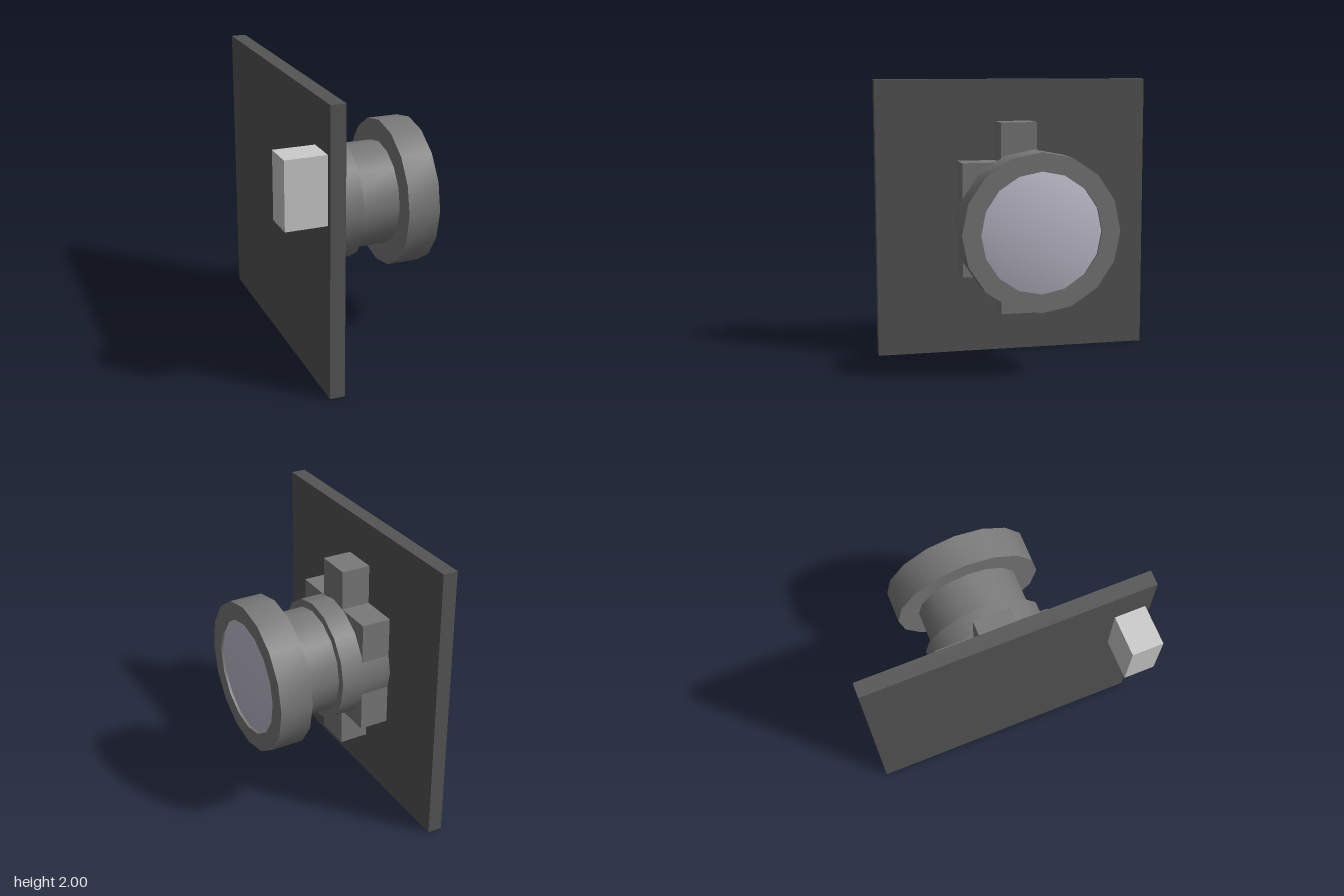
import * as THREE from 'three';
import { toCreasedNormals } from 'three/addons/utils/BufferGeometryUtils.js';

const SIDES = 16;
const AXIS_Y = 1.005; // height of the optical axis

export function createModel() {
  const model = new THREE.Group();
  model.name = 'cameraModule';

  const boardMat = new THREE.MeshStandardMaterial({ color: 0x555555 });
  const housingMat = new THREE.MeshStandardMaterial({ color: 0x797979 });
  const glassMat = new THREE.MeshStandardMaterial({ color: 0xc2c0d0 });
  const connectorMat = new THREE.MeshStandardMaterial({ color: 0xcccccc });

  function add(name, geometry, material, parent = model) {
    const mesh = new THREE.Mesh(geometry, material);
    mesh.name = name;
    parent.add(mesh);
    return mesh;
  }

  // Box given by its limits on each axis
  function box(name, [x0, x1], [y0, y1], [z0, z1], material) {
    const mesh = add(name, new THREE.BoxGeometry(x1 - x0, y1 - y0, z1 - z0), material);
    mesh.position.set((x0 + x1) / 2, (y0 + y1) / 2, (z0 + z1) / 2);
  }

  // Circuit board and the connector behind it
  box('circuitBoard', [-0.372, -0.268], [0, 2], [-1, 1], boardMat);
  box('connector', [-0.655, -0.372], [1.212, 1.677], [0.742, 0.96], connectorMat);

  // Square lens mount with a screw tab above and below
  box('mountBase', [-0.268, -0.058], [AXIS_Y - 0.41, AXIS_Y + 0.41], [-0.41, 0.41], housingMat);
  for (const [name, s] of [['upperTab', 1], ['lowerTab', -1]]) {
    const ys = [AXIS_Y + s * 0.41, AXIS_Y + s * 0.693].sort((a, b) => a - b);
    box(name, [-0.268, -0.058], ys, [-0.132, 0.132], housingMat);
  }

  // Round parts: turned about y, then the group is laid along +x
  const lens = new THREE.Group();
  lens.name = 'lensAssembly';
  lens.position.y = AXIS_Y;
  lens.rotation.z = -Math.PI / 2;
  model.add(lens);

  function turned(name, profile) {
    const points = profile.map(([r, h]) => new THREE.Vector2(r, h));
    add(name, toCreasedNormals(new THREE.LatheGeometry(points, SIDES), 0.7), housingMat, lens);
  }

  turned('mountCollar', [[0, -0.268], [0.435, -0.268], [0.435, 0.105], [0, 0.105]]);
  turned('lensBarrel', [[0.378, 0.105], [0.378, 0.395]]);
  turned('lensRing', [[0, 0.395], [0.537, 0.395], [0.537, 0.628], [0.41, 0.628], [0.41, 0.6]]);

  // Shallow domed glass seated in the ring
  const R = 2.12;
  const dome = new THREE.SphereGeometry(R, SIDES, 6, 0, Math.PI * 2, 0, Math.asin(0.41 / R));
  dome.translate(0, 0.65 - R, 0);
  add('lensGlass', dome, glassMat, lens);

  return model;
}
